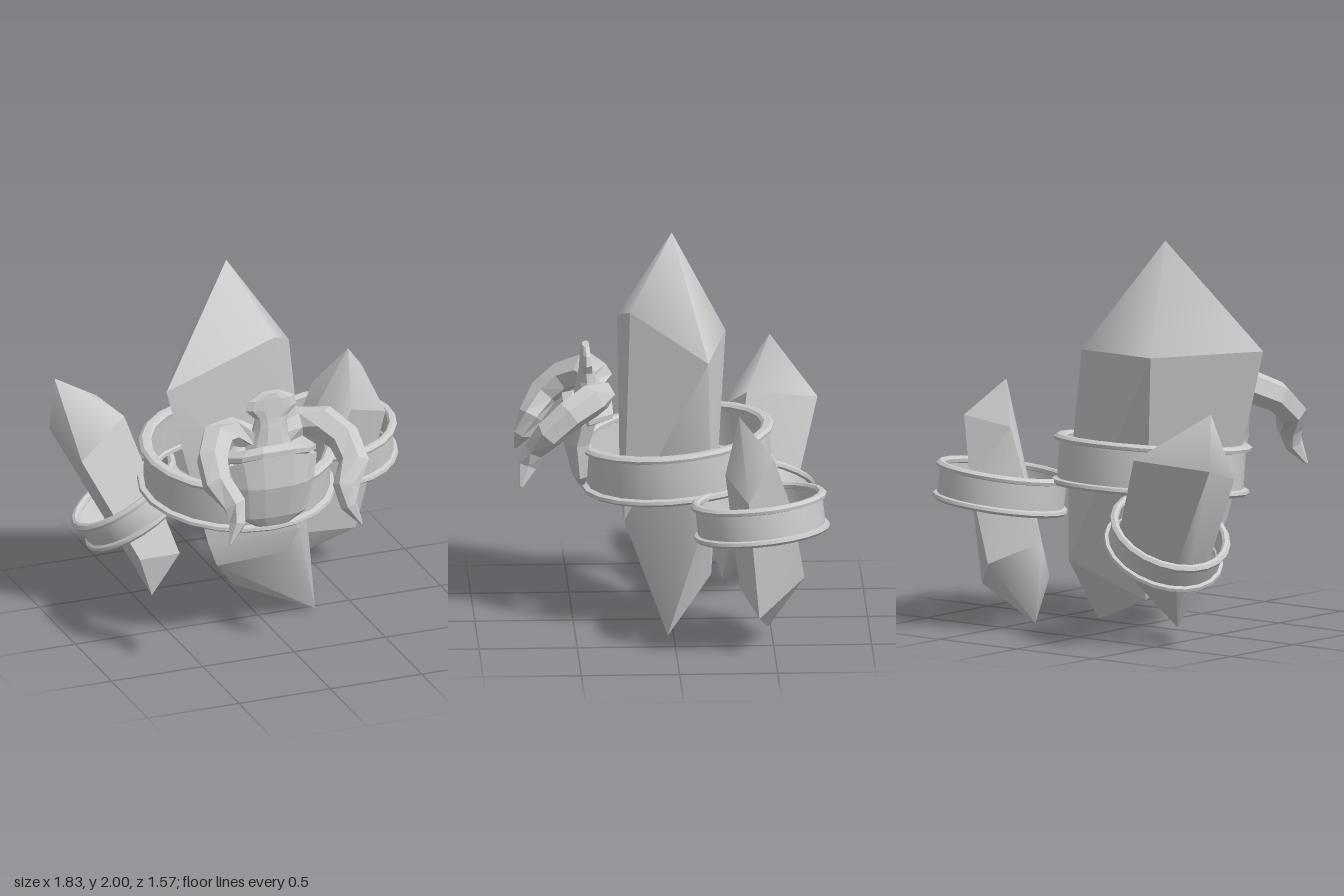
import * as THREE from 'three';
import { ConvexGeometry } from 'three/addons/geometries/ConvexGeometry.js';
import { mergeGeometries, toCreasedNormals } from 'three/addons/utils/BufferGeometryUtils.js';

const smooth = new THREE.MeshStandardMaterial({ color: 0xcccccc });
const flat = new THREE.MeshStandardMaterial({ color: 0xcccccc, flatShading: true, side: THREE.DoubleSide });

function addMesh(parent, name, geometry, material) {
  const mesh = new THREE.Mesh(geometry, material);
  mesh.name = name;
  parent.add(mesh);
  return mesh;
}

// A crystal is the convex hull of its corners (first and last are the tips);
// the pointed ends are shaded softly, the long sides stay flat
function crystal(points) {
  const hull = new ConvexGeometry(points.map((p) => new THREE.Vector3(...p)));
  const pos = hull.attributes.position;
  const tipHeights = [points[0][1], points[points.length - 1][1]];
  const ends = [], sides = [];
  for (let i = 0; i < pos.count; i += 3) {
    const corners = [i, i + 1, i + 2];
    const atTip = corners.some((k) => tipHeights.some((y) => Math.abs(pos.getY(k) - y) < 1e-4));
    for (const k of corners) (atTip ? ends : sides).push(pos.getX(k), pos.getY(k), pos.getZ(k));
  }
  return mergeGeometries([[ends, 1.4], [sides, 0.35]].map(([list, angle]) => {
    const g = new THREE.BufferGeometry();
    g.setAttribute('position', new THREE.Float32BufferAttribute(list, 3));
    return toCreasedNormals(g, angle);
  }));
}

// Band with a raised lip at both rims; r is the outer radius, h the half height
function band(r, h) {
  const half = [[r * 0.945, 0], [r * 0.945, h - 0.035], [r, h - 0.03], [r + 0.004, h - 0.014], [r - 0.012, h], [r * 0.91, h], [r * 0.88, h - 0.012], [r * 0.885, h - 0.03], [r * 0.905, h - 0.035]];
  const lower = half.slice(1).reverse().map(([x, y]) => [x, -y]);
  const profile = [...lower, ...half, lower[0]].map(([x, y]) => new THREE.Vector2(x, y));
  return toCreasedNormals(new THREE.LatheGeometry(profile, 22), 0.5);
}

// Skin a list of equal-sized loops and cap both ends
function loft(loops) {
  const n = loops[0].length;
  const index = [];
  for (let i = 0; i < loops.length - 1; i++) {
    for (let j = 0; j < n; j++) {
      const a = i * n + j, b = i * n + (j + 1) % n;
      index.push(a, a + n, b, b, a + n, b + n);
    }
  }
  const last = (loops.length - 1) * n;
  for (let j = 1; j < n - 1; j++) {
    index.push(0, j, j + 1, last, last + j + 1, last + j);
  }
  const g = new THREE.BufferGeometry();
  g.setAttribute('position', new THREE.Float32BufferAttribute(loops.flat(2), 3));
  g.setIndex(index);
  g.computeVertexNormals();
  return g;
}

// Upright body with a faceted front; rows are [y, half width, front z, back z, side drop]
function stack(rows) {
  const outline = [[-1, 0.5], [-0.8, 0], [0, 0], [0.8, 0], [1, 0.5], [0.75, 0.82], [0.35, 1], [-0.35, 1], [-0.75, 0.82]];
  return loft(rows.map(([y, w, zf, zb, drop = 0]) =>
    outline.map(([u, t]) => [u * w, y - drop * u * u, zb + (zf - zb) * t])));
}

// Curved horn with six sides; rows are [x, y, z, half width, half thickness]
function horn(rows, side) {
  const pts = rows.map(([x, y, z]) => new THREE.Vector3(x * side, y, z));
  const inward = new THREE.Vector3(-0.5 * side, -0.55, 0.2);
  return loft(pts.map((p, i) => {
    const t = pts[Math.min(i + 1, pts.length - 1)].clone().sub(pts[Math.max(i - 1, 0)]).normalize();
    const u = inward.clone().addScaledVector(t, -inward.dot(t)).normalize();
    const v = t.clone().cross(u);
    return Array.from({ length: 6 }, (_, k) => {
      const a = k * Math.PI / 3;
      return p.clone().addScaledVector(u, Math.cos(a) * rows[i][3]).addScaledVector(v, -Math.sin(a) * rows[i][4]).toArray();
    });
  }));
}

export function createModel() {
  const model = new THREE.Group();
  model.name = 'ringedCrystals';

  // Crystals: top tip, upper corners, middle corners, lower corners, bottom tip
  const crystals = {
    mainCrystal: [
      [-0.17, 2, -0.01],
      [-0.6, 1.44, 0.25], [0.01, 1.63, 0.21], [0.24, 1.42, -0.18], [-0.3, 1.44, -0.29],
      [-0.37, 0.56, 0.245], [0.13, 0.56, 0.245], [0.32, 0.7, -0.19],
      [-0.3, 0.4, 0.19], [0.08, 0.42, 0.195], [0.32, 0.33, -0.19], [-0.1, 0.15, -0.085],
      [0.3, 0, 0.03],
    ],
    leftCrystal: [
      [0.62, 1.25, -0.32],
      [0.48, 1.03, -0.46], [0.61, 0.94, -0.25], [0.84, 0.85, -0.36], [0.76, 1.07, -0.49],
      [0.64, 0.75, -0.59],
      [0.26, 0.46, -0.48], [0.325, 0.26, -0.335], [0.7, 0.2, -0.42], [0.465, 0.35, -0.66],
      [0.3, 0.04, -0.48],
    ],
    rightCrystal: [
      [-0.9, 1.24, -0.54],
      [-0.85, 0.87, -0.29], [-0.57, 1.03, -0.41], [-0.58, 1.0, -0.77], [-0.915, 0.95, -0.57],
      [-0.57, 0.32, -0.19], [-0.31, 0.27, -0.3], [-0.33, 0.45, -0.62], [-0.6, 0.4, -0.46],
      [-0.47, 0.07, -0.28],
    ],
  };
  for (const [name, points] of Object.entries(crystals)) {
    addMesh(model, name, crystal(points), smooth);
  }

  // Tilted bands: name, radius, half height, centre, axis
  const bands = [
    ['mainBand', 0.503, 0.13, [-0.1, 0.845, -0.035], [0, 1, 0.1]],
    ['leftBand', 0.345, 0.1, [0.56, 0.71, -0.43], [-0.09, 1, 0.1]],
    ['rightBand', 0.313, 0.085, [-0.525, 0.54, -0.435], [-0.5, 0.83, -0.2]],
  ];
  for (const [name, r, h, centre, axis] of bands) {
    const ring = addMesh(model, name, band(r, h), smooth);
    ring.position.set(...centre);
    ring.quaternion.setFromUnitVectors(new THREE.Vector3(0, 1, 0), new THREE.Vector3(...axis).normalize());
  }

  // Horned ornament on the front of the main band
  const ornament = new THREE.Group();
  ornament.name = 'hornedOrnament';
  ornament.position.x = -0.1;
  model.add(ornament);
  addMesh(ornament, 'faceShield', stack([
    [0.71, 0.09, 0.475, 0.44], [0.77, 0.18, 0.505, 0.43], [0.95, 0.215, 0.55, 0.42], [1.13, 0.24, 0.54, 0.38, 0.06],
  ]), flat);
  addMesh(ornament, 'brow', stack([
    [1.12, 0.22, 0.52, 0.34, 0.06], [1.135, 0.25, 0.55, 0.3, 0.06], [1.16, 0.25, 0.55, 0.3, 0.06], [1.175, 0.19, 0.5, 0.34, 0.05],
  ]), flat);
  addMesh(ornament, 'crest', stack([
    [1.1, 0.14, 0.5, 0.33], [1.19, 0.11, 0.485, 0.335], [1.25, 0.09, 0.475, 0.38], [1.3, 0.09, 0.465, 0.4],
    [1.35, 0.14, 0.46, 0.405], [1.4, 0.125, 0.455, 0.41], [1.435, 0.06, 0.45, 0.415],
  ]), flat);
  const hornRows = [
    [0.06, 1.17, 0.4, 0.06, 0.06], [0.18, 1.215, 0.36, 0.075, 0.07], [0.29, 1.215, 0.42, 0.09, 0.085],
    [0.36, 1.16, 0.53, 0.085, 0.08], [0.375, 1.07, 0.63, 0.08, 0.075], [0.305, 0.97, 0.7, 0.068, 0.06],
    [0.305, 0.88, 0.74, 0.045, 0.05], [0.36, 0.785, 0.775, 0.008, 0.008],
  ];
  for (const [name, side] of [['leftHorn', 1], ['rightHorn', -1]]) {
    addMesh(ornament, name, horn(hornRows, side), flat);
  }
  return model;
}
